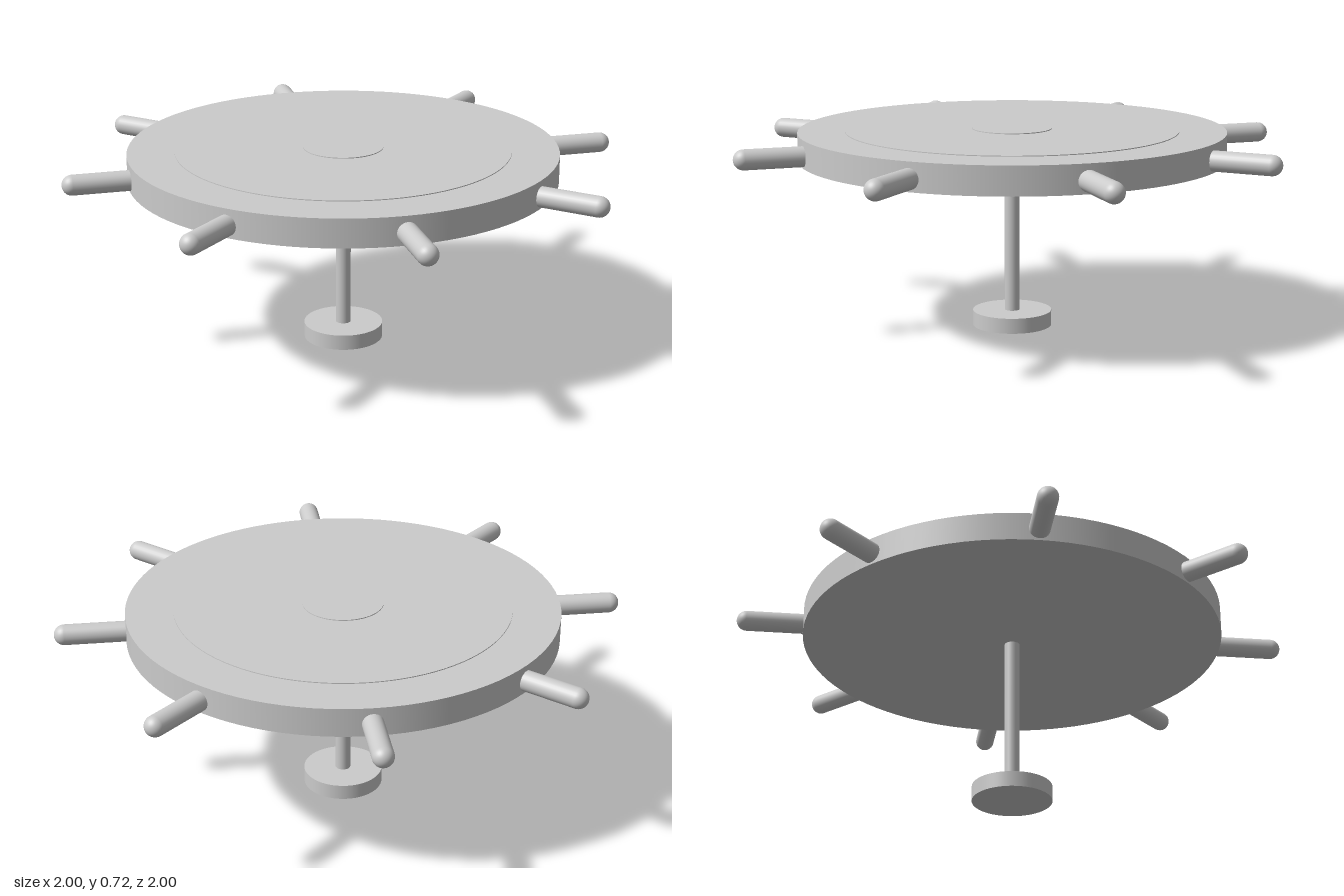
import * as THREE from 'three';

export function createModel() {
  const model = new THREE.Group();
  model.name = 'wheelOnStand';
  const material = new THREE.MeshStandardMaterial({ color: 0xcccccc });

  // Disc, stem and base share one axis
  const body = new THREE.Group();
  body.name = 'body';
  body.position.set(-0.006, 0, 0.004);
  model.add(body);

  function addDisc(name, radius, bottom, top, segments = 96) {
    const geometry = new THREE.CylinderGeometry(radius, radius, top - bottom, segments);
    const mesh = new THREE.Mesh(geometry, material);
    mesh.name = name;
    mesh.position.y = (bottom + top) / 2;
    body.add(mesh);
  }

  addDisc('base', 0.142, 0, 0.055, 64);
  addDisc('stem', 0.027, 0.04, 0.64, 32);
  addDisc('wheel', 0.76, 0.615, 0.715);
  // Thin raised plates on the wheel's top
  addDisc('facePlate', 0.593, 0.69, 0.718);
  addDisc('hubPlate', 0.142, 0.69, 0.721, 64);

  // Eight round-ended handles around the rim
  const handleRadius = 0.036;
  const inner = 0.66, outer = 1;
  const handleGeometry = new THREE.CapsuleGeometry(
    handleRadius, outer - inner - 2 * handleRadius, 10, 28);
  handleGeometry.rotateZ(Math.PI / 2);
  handleGeometry.translate((inner + outer) / 2, 0, 0);
  for (let i = 0; i < 8; i++) {
    const handle = new THREE.Mesh(handleGeometry, material);
    handle.name = `handle${i + 1}`;
    handle.position.y = 0.658;
    handle.rotation.y = (i * Math.PI) / 4;
    model.add(handle);
  }

  return model;
}
